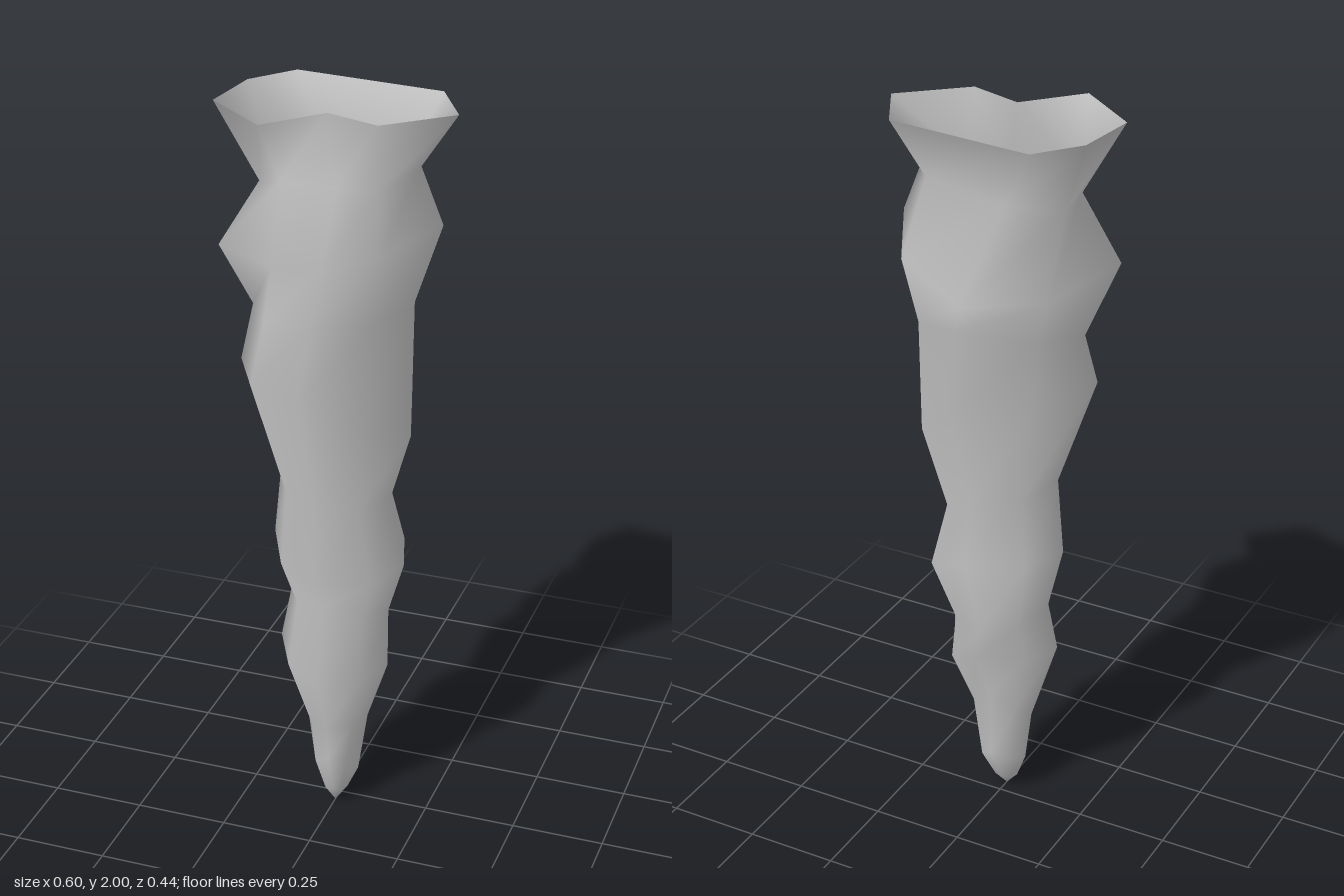
import * as THREE from 'three';

// Rim and neck outlines (x, z), from +x round through the front (+z)
const rim = [[0.297, -0.01], [0.14, 0.13], [-0.005, 0.08], [-0.13, 0.22],
  [-0.3, 0.08], [-0.28, -0.1], [-0.19, -0.215], [0.21, -0.17]];
const neck = [[0.205, -0.01], [0.13, 0.09], [0.025, 0.1], [-0.1, 0.155],
  [-0.19, 0.06], [-0.215, -0.075], [-0.09, -0.15], [0.14, -0.12]];

// Lower rings: reach and height on the right-hand (+x), front, left-hand (-x) and back sides,
// then a skew that pushes the ring out along the (-x, +z) diagonal
const rings = [
  [0.26, 1.71, 0.19, 1.63, -0.29, 1.63, -0.215, 1.57, 0],
  [0.175, 1.47, 0.145, 1.46, -0.23, 1.45, -0.175, 1.48, 0.03],
  [0.17, 1.10, 0.17, 1.27, -0.25, 1.31, -0.175, 1.25, 0.055],
  [0.125, 0.92, 0.125, 0.95, -0.15, 1.01, -0.11, 0.95, 0.03],
  [0.165, 0.73, 0.14, 0.73, -0.175, 0.81, -0.145, 0.80, 0.025],
  [0.13, 0.60, 0.105, 0.65, -0.135, 0.63, -0.10, 0.57, 0.01],
  [0.13, 0.43, 0.13, 0.42, -0.155, 0.50, -0.10, 0.49, 0.02],
  [0.08, 0.27, 0.085, 0.26, -0.08, 0.26, -0.04, 0.34, 0.01],
  [0.057, 0.10, 0.10, 0.17, -0.067, 0.12, -0.055, 0.16, 0],
  [0.03, 0.04, 0.065, 0.05, -0.035, 0.04, 0.005, 0.04, 0],
];

// Turns the four side values into an irregular, skewed eight-sided ring
function ringPoints([xr, yr, zf, yf, xl, yl, zb, yb, s], k) {
  const cz = (zf + zb) / 2, hz = (zf - zb) / 2, h = s / 2;
  const d = 0.73 + 0.04 * Math.sin(k * 2.1);
  const mid = (a, b) => (a + b) / 2;
  return [
    [xr, yr, cz - 0.01 - s], [xr * d - h, mid(yr, yf), cz + hz * 0.68 - h],
    [-s, yf, zf], [xl * 0.62 - h, mid(yf, yl), cz + hz * 0.8 + h],
    [xl, yl, cz + s], [xl * d + h, mid(yl, yb), cz - hz * 0.7 + h],
    [s, yb, zb], [xr * d + h, mid(yb, yr), cz - hz * d - h],
  ];
}

function createShell() {
  const heights = [1.86, 1.82, 1.82, 1.84, 1.8, 1.81, 1.83, 1.85];
  const loops = [
    rim.map(([x, z]) => [x, 2, z]),
    neck.map(([x, z], i) => [x, heights[i], z]),
    ...rings.map(ringPoints),
  ];
  // Front of the first bulge leans to the left-hand side
  loops[2].splice(1, 4, [0.14, 1.66, 0.125], [0.01, 1.63, 0.17],
    [-0.11, 1.63, 0.195], [-0.29, 1.63, 0.09]);

  const positions = [...loops.flat(2), 0, 0, 0.04];
  const tip = loops.length * 8;
  const index = [];
  for (let r = 0; r < loops.length; r++) {
    for (let i = 0; i < 8; i++) {
      const a = r * 8 + i, b = r * 8 + (i + 1) % 8;
      if (r === loops.length - 1) index.push(a, b, tip);
      else index.push(a, b, b + 8, a, b + 8, a + 8);
    }
  }
  const geometry = new THREE.BufferGeometry();
  geometry.setAttribute('position', new THREE.Float32BufferAttribute(positions, 3));
  geometry.setIndex(index);
  geometry.computeVertexNormals();
  return geometry;
}

export function createModel() {
  const stone = new THREE.MeshStandardMaterial({ color: 0xc4c4c4, side: THREE.DoubleSide });
  stone.name = 'greyStone';

  // Hollow hanging spike, open at the top
  const spike = new THREE.Mesh(createShell(), stone);
  spike.name = 'stalactiteShell';

  const model = new THREE.Group();
  model.name = 'stalactite';
  model.add(spike);
  return model;
}
